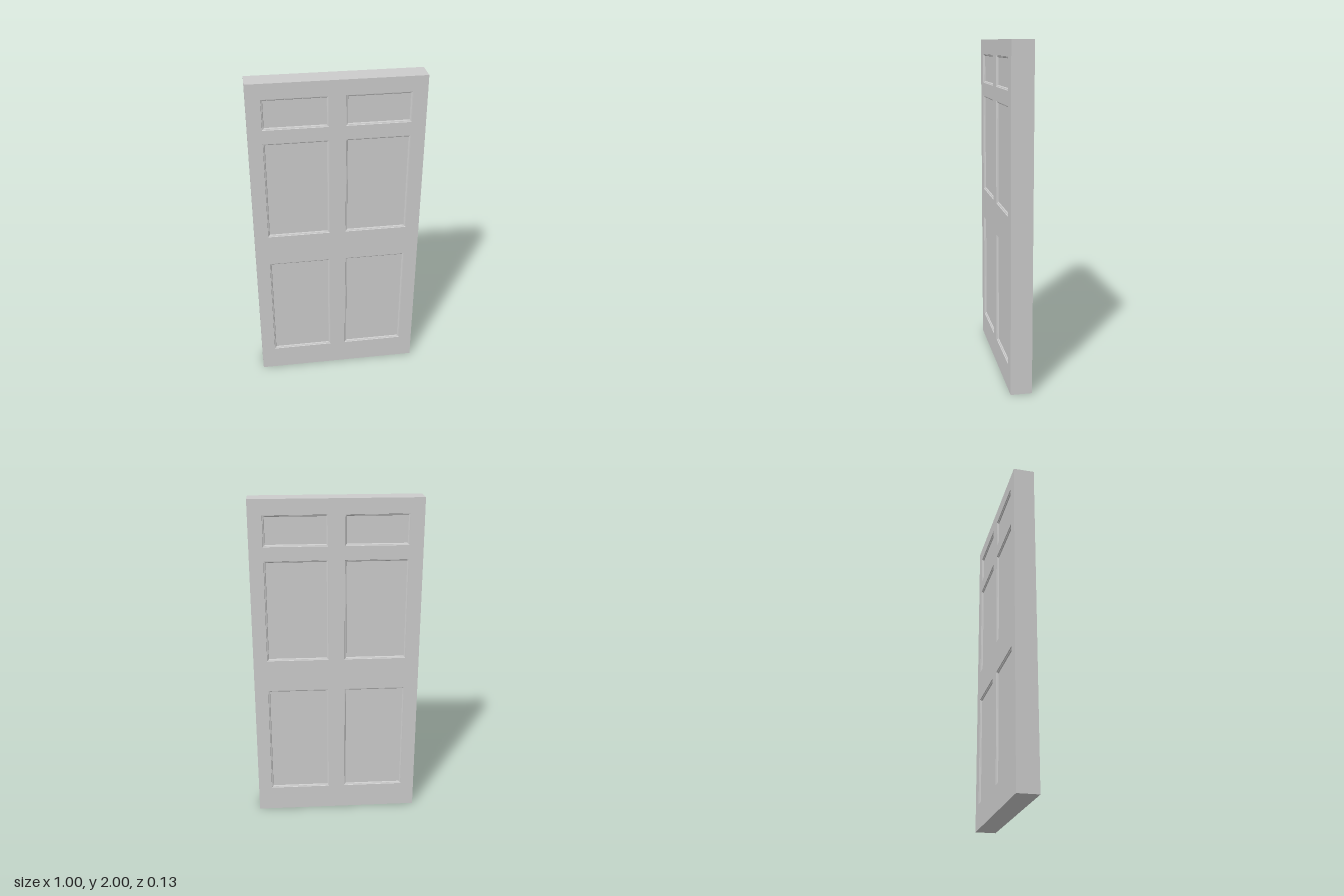
import * as THREE from 'three';

const W = 1, H = 2, T = 0.126;
const DEPTH = 0.012; // how far the panels sit below the face

// openings on the +x half: [x0, x1, y0, y1]
const ROWS = [[0.155, 0.84], [1.035, 1.648], [1.73, 1.91]];
const OPENINGS = ROWS.flatMap(([y0, y1]) => [[0.048, 0.418, y0, y1], [-0.418, -0.048, y0, y1]]);

// moulding profile: [inset from the opening, depth below the face]
const PROFILE = [[0, 0], [0.002, 0.005], [0.006, 0.006], [0.009, 0.008], [0.011, DEPTH]];

function rectPath(path, [x0, x1, y0, y1]) {
  path.moveTo(x0, y0);
  path.lineTo(x1, y0);
  path.lineTo(x1, y1);
  path.lineTo(x0, y1);
  path.closePath();
  return path;
}

// mitred moulding running round one opening, facing +z
function mouldingGeometry([x0, x1, y0, y1]) {
  const ring = ([i, d]) => [
    [x0 + i, y0 + i, T / 2 - d], [x1 - i, y0 + i, T / 2 - d],
    [x1 - i, y1 - i, T / 2 - d], [x0 + i, y1 - i, T / 2 - d],
  ];
  const pos = [];
  for (let k = 0; k < PROFILE.length - 1; k++) {
    const a = ring(PROFILE[k]), b = ring(PROFILE[k + 1]);
    for (let c = 0; c < 4; c++) {
      const n = (c + 1) % 4;
      pos.push(...a[c], ...a[n], ...b[n], ...a[c], ...b[n], ...b[c]);
    }
  }
  const geo = new THREE.BufferGeometry();
  geo.setAttribute('position', new THREE.Float32BufferAttribute(pos, 3));
  geo.computeVertexNormals();
  return geo;
}

export function createModel() {
  const group = new THREE.Group();
  group.name = 'door';
  const material = new THREE.MeshStandardMaterial({ color: 0xcccccc });
  const add = (name, geometry) => {
    const mesh = new THREE.Mesh(geometry, material);
    mesh.name = name;
    group.add(mesh);
    return mesh;
  };

  // stiles and rails: one slab with six openings
  const shape = rectPath(new THREE.Shape(), [-W / 2, W / 2, 0, H]);
  for (const o of OPENINGS) shape.holes.push(rectPath(new THREE.Path(), o));
  const frame = new THREE.ExtrudeGeometry(shape, { depth: T, bevelEnabled: false });
  frame.translate(0, 0, -T / 2);
  add('frame', frame);

  OPENINGS.forEach((o, i) => {
    const [x0, x1, y0, y1] = o;
    // recessed panel, seen from both sides
    const panel = add(`panel${i + 1}`, new THREE.BoxGeometry(x1 - x0, y1 - y0, T - 2 * DEPTH));
    panel.position.set((x0 + x1) / 2, (y0 + y1) / 2, 0);
    // mouldings on the front and back faces
    add(`frontMoulding${i + 1}`, mouldingGeometry(o));
    add(`backMoulding${i + 1}`, mouldingGeometry(o)).rotation.y = Math.PI;
  });

  return group;
}
